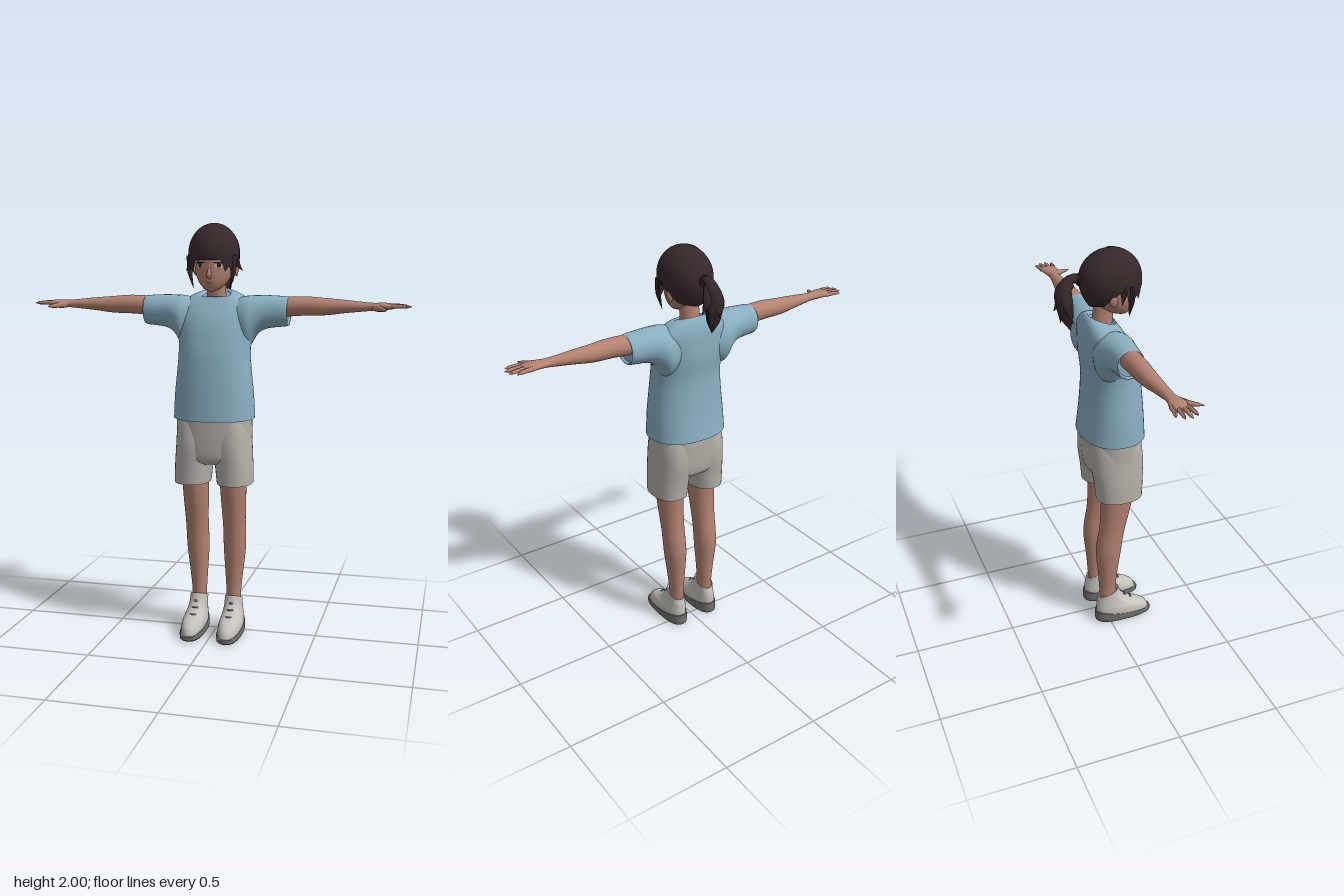
import * as THREE from 'three';

const colour = (name, hex, extra = {}) => {
  const m = new THREE.MeshStandardMaterial({ color: hex, ...extra });
  m.name = name;
  return m;
};

// Smooth closed body through stacked rings [y, centreX, centreZ, radiusX, radiusZ, slant]
function loft(secs, power = 2, sides = 32, steps = 4) {
  const rows = [], pos = [], idx = [];
  const at = (i, k) => secs[Math.min(Math.max(i, 0), secs.length - 1)][k] || 0;
  for (let i = 0; i < secs.length - 1; i++) {
    for (let s = 0; s < steps + (i === secs.length - 2 ? 1 : 0); s++) {
      const t = s / steps;
      rows.push([0, 1, 2, 3, 4, 5].map(k => {
        const a = at(i - 1, k), b = at(i, k), c = at(i + 1, k), d = at(i + 2, k);
        return b + 0.5 * t * (c - a + t * (2 * a - 5 * b + 4 * c - d + t * (3 * (b - c) + d - a)));
      }));
    }
  }
  const bend = v => Math.sign(v) * Math.abs(v) ** (2 / power);
  const ring = ([y, cx, cz, rx, rz, slant]) => {
    for (let i = 0; i < sides; i++) {
      const a = i / sides * Math.PI * 2, u = bend(Math.sin(a)), v = bend(Math.cos(a));
      pos.push(cx + rx * u, y + slant * v, cz + rz * v);
    }
  };
  rows.forEach(ring);
  for (let j = 0; j < rows.length - 1; j++) {
    for (let i = 0; i < sides; i++) {
      const a = j * sides + i, b = j * sides + (i + 1) % sides;
      idx.push(a, b, b + sides, a, b + sides, a + sides);
    }
  }
  // End caps with their own vertices keep the rims crisp
  for (const [row, top] of [[rows[0], false], [rows[rows.length - 1], true]]) {
    const start = pos.length / 3;
    ring(row);
    pos.push(row[1], row[0], row[2]);
    for (let i = 0; i < sides; i++) {
      const a = start + i, b = start + (i + 1) % sides;
      idx.push(start + sides, top ? a : b, top ? b : a);
    }
  }
  return build(pos, idx);
}

function build(pos, idx) {
  const g = new THREE.BufferGeometry();
  g.setAttribute('position', new THREE.Float32BufferAttribute(pos, 3));
  g.setIndex(idx);
  g.computeVertexNormals();
  return g;
}

// Same loft laid along x: [x, centreY, centreZ, radiusY, radiusZ]
const loftX = (secs, power) =>
  loft(secs.map(([x, cy, ...r]) => [x, -cy, ...r]), power).rotateZ(-Math.PI / 2);

// Tapered tube through points, used for fingers, laces and locks of hair
function strand(points, radii) {
  const curve = new THREE.CatmullRomCurve3(points.map(p => new THREE.Vector3(...p)));
  const n = 16, sides = 10, g = new THREE.TubeGeometry(curve, n, 1, sides);
  const p = g.attributes.position, v = new THREE.Vector3();
  for (let i = 0; i < p.count; i++) {
    const t = Math.floor(i / (sides + 1)) / n, f = t * (radii.length - 1);
    const k = Math.min(Math.floor(f), radii.length - 2);
    const c = curve.getPointAt(t), r = THREE.MathUtils.lerp(radii[k], radii[k + 1], f - k);
    v.fromBufferAttribute(p, i).sub(c).multiplyScalar(r).add(c);
    p.setXYZ(i, v.x, v.y, v.z);
  }
  g.computeVertexNormals();
  return g;
}

function mirror(geo) {
  const g = geo.clone().scale(-1, 1, 1), ix = g.index.array;
  for (let i = 0; i < ix.length; i += 3) [ix[i], ix[i + 1]] = [ix[i + 1], ix[i]];
  return g;
}

// Linear lookup in rows of [key, value...]
function lookup(rows, key, col) {
  let i = 0;
  while (i < rows.length - 2 && key > rows[i + 1][0]) i++;
  const t = THREE.MathUtils.clamp((key - rows[i][0]) / (rows[i + 1][0] - rows[i][0]), 0, 1);
  return THREE.MathUtils.lerp(rows[i][col], rows[i + 1][col], t);
}

// Hair shell fanned around the crown; the lower edge follows [degrees, y]
function hairShell(edge, rx, rz, ry, taper) {
  const na = 120, nt = 18, pos = [], idx = [];
  const from = edge[0][0], to = edge[edge.length - 1][0];
  for (let j = 0; j <= nt; j++) {
    for (let i = 0; i <= na; i++) {
      const deg = from + (to - from) * i / na, a = deg * Math.PI / 180, t = j / nt;
      const phi = Math.min(t / 0.6, 1) * Math.PI / 2;
      const drop = Math.max(t - 0.6, 0) / 0.4 * (1.86 - lookup(edge, deg, 1));
      const f = Math.sin(phi) * (1 - taper * drop * drop);
      pos.push(rx * f * Math.sin(a), 1.86 + ry * Math.cos(phi) - drop, 0.038 + rz * f * Math.cos(a));
      if (i < na && j < nt) {
        const q = j * (na + 1) + i, r = q + na + 1;
        idx.push(q, r, r + 1, q, r + 1, q + 1);
      }
    }
  }
  return build(pos, idx);
}

export function createModel() {
  const root = new THREE.Group();
  root.name = 'standingFigure';
  const skin = colour('skin', 0xb48271), hair = colour('dark hair', 0x36282a, { side: THREE.DoubleSide });
  const blue = colour('shirt blue', 0x8aafc2), cloth = colour('shorts grey', 0xb5b1aa);
  const white = colour('shoe white', 0xc6c3bd), grey = colour('sole grey', 0x716f6d);
  const black = colour('tread black', 0x231e1d), eyeWhite = colour('eye white', 0xc9aca5);
  const lip = colour('lips', 0x935f58);
  const add = (name, geo, mat) => {
    const m = new THREE.Mesh(geo, mat);
    m.name = name;
    root.add(m);
  };
  const pair = (name, geo, mat) => {
    add(name + 'Left', geo, mat);
    add(name + 'Right', mirror(geo), mat);
  };

  // Shirt
  add('shirtBody', loft([[1.083, 0, 0.042, 0.196, 0.157, -0.004], [1.2, 0, 0.045, 0.19, 0.146],
    [1.3, 0, 0.045, 0.18, 0.138], [1.4, 0, 0.04, 0.173, 0.13], [1.5, 0, 0.022, 0.18, 0.122],
    [1.57, 0, 0.008, 0.188, 0.108], [1.62, 0, -0.006, 0.182, 0.092], [1.652, 0, -0.012, 0.145, 0.08, -0.005],
    [1.671, 0, -0.01, 0.105, 0.071, -0.013], [1.675, 0, -0.002, 0.074, 0.064, -0.022],
    [1.66, 0, 0, 0.064, 0.056, -0.022]], 2.25, 40), blue);
  pair('sleeve', loftX([[0.09, 1.55, 0, 0.1, 0.08], [0.155, 1.541, 0.005, 0.122, 0.1], [0.2, 1.573, 0.004, 0.092, 0.088],
    [0.25, 1.588, 0.003, 0.078, 0.075], [0.345, 1.591, 0.002, 0.069, 0.066], [0.338, 1.591, 0.002, 0.058, 0.056]], 2.1), blue);

  // Shorts
  add('shortsSeat', loft([[0.865, 0, 0.046, 0.1, 0.09], [0.89, 0, 0.045, 0.16, 0.122],
    [0.96, 0, 0.042, 0.18, 0.132], [1.12, 0, 0.04, 0.184, 0.136]], 2.4), cloth);
  pair('shortsLeg', loft([[0.766, 0.105, 0.05, 0.085, 0.115], [0.85, 0.1, 0.048, 0.089, 0.121],
    [0.95, 0.093, 0.043, 0.09, 0.13], [1.04, 0.09, 0.04, 0.088, 0.125], [1.11, 0.085, 0.04, 0.08, 0.11]], 2.3), cloth);

  // Legs and shoes
  pair('leg', loft([[0.12, 0.088, 0, 0.035, 0.042], [0.2, 0.088, -0.002, 0.036, 0.044], [0.3, 0.09, -0.002, 0.044, 0.051],
    [0.42, 0.093, 0, 0.054, 0.064], [0.5, 0.094, 0.008, 0.055, 0.066], [0.57, 0.094, 0.02, 0.056, 0.066],
    [0.66, 0.094, 0.034, 0.06, 0.073], [0.77, 0.094, 0.046, 0.064, 0.084], [0.85, 0.094, 0.048, 0.066, 0.088]]), skin);
  pair('shoeTread', loft([[0, 0.092, 0.082, 0.053, 0.144], [0.008, 0.092, 0.083, 0.057, 0.15]], 2.5), black);
  pair('shoeSole', loft([[0.006, 0.092, 0.083, 0.058, 0.152], [0.022, 0.092, 0.082, 0.06, 0.153],
    [0.043, 0.092, 0.079, 0.058, 0.149, -0.02]], 2.5), grey);
  pair('shoeUpper', loft([[0.025, 0.092, 0.079, 0.056, 0.146], [0.055, 0.092, 0.074, 0.057, 0.138],
    [0.08, 0.092, 0.058, 0.054, 0.122], [0.1, 0.091, 0.036, 0.049, 0.098], [0.125, 0.09, 0.018, 0.045, 0.076],
    [0.15, 0.089, 0.007, 0.043, 0.06, 0.01], [0.172, 0.088, 0.003, 0.042, 0.053, 0.02],
    [0.163, 0.088, 0.002, 0.035, 0.045, 0.018]], 2.2), white);
  for (const [y, z, w] of [[0.105, 0.127, 0.033], [0.13, 0.093, 0.03], [0.155, 0.069, 0.028]]) {
    pair('shoeLace', strand([[0.09 - w, y - 0.01, z - 0.024], [0.09, y, z], [0.09 + w, y - 0.01, z - 0.024]],
      [0.004, 0.005, 0.004]), grey);
  }

  // Arms and hands
  pair('arm', loftX([[0.3, 1.61, 0.003, 0.047, 0.048], [0.42, 1.617, 0.003, 0.045, 0.046], [0.52, 1.615, 0.003, 0.04, 0.042],
    [0.62, 1.617, 0.008, 0.03, 0.033], [0.72, 1.617, 0.015, 0.02, 0.025], [0.76, 1.618, 0.018, 0.018, 0.032],
    [0.8, 1.62, 0.018, 0.017, 0.042], [0.835, 1.62, 0.014, 0.012, 0.042], [0.845, 1.62, 0.013, 0.006, 0.036]]), skin);
  for (const [z0, x1, z1] of [[0.045, 0.905, 0.055], [0.024, 0.92, 0.026], [0.003, 0.914, -0.004], [-0.017, 0.89, -0.034]]) {
    pair('finger', strand([[0.81, 1.62, z0], [0.86, 1.622, (z0 + z1) / 2], [x1, 1.619, z1]],
      [0.011, 0.011, 0.01, 0.009, 0.008, 0.001]), skin);
  }
  pair('thumb', strand([[0.745, 1.615, 0.025], [0.785, 1.61, 0.07], [0.815, 1.605, 0.125]],
    [0.015, 0.016, 0.012, 0.009, 0.001]), skin);

  // Neck, head, nose and ears
  add('neck', loft([[1.61, 0, -0.005, 0.056, 0.052], [1.67, 0, 0.002, 0.046, 0.048], [1.76, 0, 0.015, 0.045, 0.05]]), skin);
  const skull = [[1.685, 0, 0.104, 0.012, 0.015], [1.694, 0, 0.09, 0.034, 0.038], [1.72, 0, 0.068, 0.062, 0.072],
    [1.76, 0, 0.05, 0.084, 0.096], [1.81, 0, 0.04, 0.095, 0.108], [1.87, 0, 0.036, 0.1, 0.115],
    [1.93, 0, 0.036, 0.085, 0.095], [1.97, 0, 0.036, 0.04, 0.045]];
  add('head', loft(skull), skin);
  add('nose', strand([[0, 1.8, 0.142], [0, 1.77, 0.15], [0, 1.757, 0.155], [0, 1.75, 0.142]],
    [0.004, 0.007, 0.011, 0.009]), skin);
  pair('ear', new THREE.SphereGeometry(1, 16, 12).scale(0.012, 0.03, 0.02).rotateZ(-0.2).translate(0.1, 1.785, 0.02), skin);

  // Face details follow the curve of the head
  const decal = (x, y, rx, ry, lift) => {
    const g = new THREE.CircleGeometry(1, 20).scale(rx, ry, 1).translate(x, y, 0), p = g.attributes.position;
    for (let i = 0; i < p.count; i++) {
      const py = p.getY(i), u = p.getX(i) / lookup(skull, py, 3);
      p.setZ(i, lookup(skull, py, 2) + lookup(skull, py, 4) * Math.sqrt(Math.max(0, 1 - u * u)) + lift);
    }
    g.computeVertexNormals();
    return g;
  };
  pair('eye', decal(0.046, 1.805, 0.021, 0.012, 0.004), eyeWhite);
  pair('iris', decal(0.045, 1.805, 0.009, 0.011, 0.006), black);
  pair('lash', decal(0.047, 1.817, 0.025, 0.004, 0.007), black);
  add('mouth', decal(0, 1.724, 0.02, 0.005, 0.005), lip);

  // Hair: back shell, fringe shell, loose locks
  const side = [[70, 1.83], [84, 1.83], [100, 1.8], [120, 1.76], [180, 1.74]];
  const flip = rows => rows.map(([d, y]) => [-d, y]).reverse();
  add('backHair', hairShell([...flip(side), ...side], 0.118, 0.144, 0.137, 22), hair);
  add('fringe', hairShell([[-86, 1.83], [-74, 1.81], [-66, 1.715], [-58, 1.78], [-48, 1.795], [-41, 1.77], [-29, 1.835],
    [-20, 1.82], [-9, 1.875], [0, 1.855], [12, 1.825], [20, 1.845], [30, 1.825], [41, 1.775], [48, 1.8],
    [58, 1.78], [66, 1.715], [74, 1.81], [86, 1.83]], 0.122, 0.149, 0.14, 6), hair);
  pair('sideLock', strand([[0.108, 1.86, 0.07], [0.116, 1.81, 0.06], [0.137, 1.78, 0.045]], [0.012, 0.014, 0.001]), hair);
  pair('cheekLock', strand([[0.108, 1.85, 0.1], [0.104, 1.78, 0.105], [0.088, 1.7, 0.098]], [0.012, 0.012, 0.001]), hair);

  // Ponytail
  add('hairTie', new THREE.TorusGeometry(0.02, 0.008, 8, 20).translate(0, 1.872, -0.112), black);
  add('ponytail', strand([[0, 1.868, -0.095], [0, 1.88, -0.14], [0, 1.83, -0.18], [-0.005, 1.74, -0.175], [-0.01, 1.64, -0.155]],
    [0.018, 0.024, 0.04, 0.04, 0.03, 0.001]), hair);
  for (const [x, y, z] of [[0, 1.74, -0.228], [0.06, 1.75, -0.18], [0.022, 1.67, -0.19], [-0.04, 1.68, -0.15]]) {
    add('ponytailTip', strand([[x * 0.2, 1.86, -0.15], [x * 0.6, 1.81, -0.185], [x, y, z]], [0.018, 0.024, 0.001]), hair);
  }
  return root;
}
